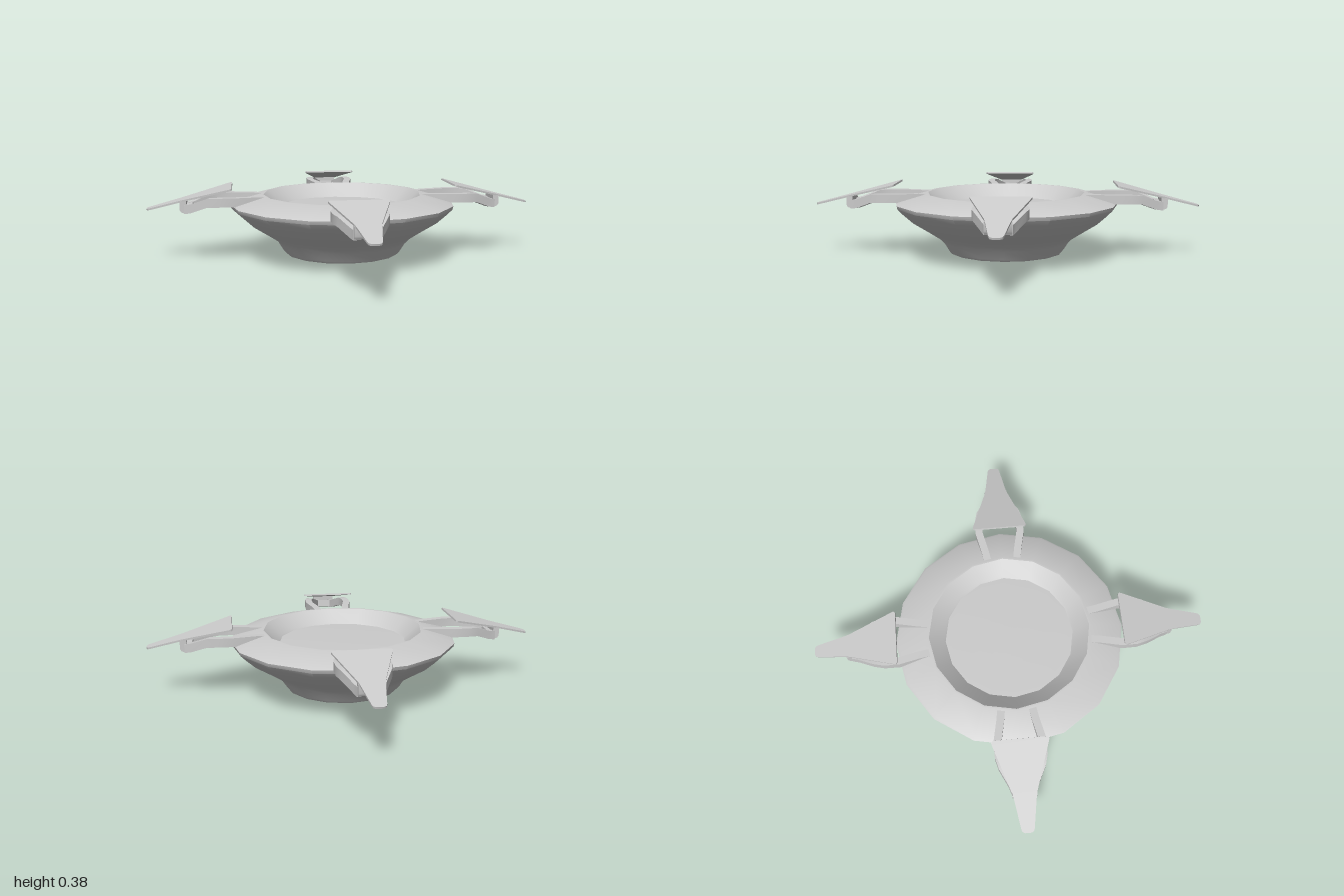
import * as THREE from 'three';
import { toCreasedNormals } from 'three/addons/utils/BufferGeometryUtils.js';

const material = new THREE.MeshStandardMaterial({ color: 0xcccccc });

function part(name, geometry, crease = 0.6) {
  const mesh = new THREE.Mesh(toCreasedNormals(geometry, crease), material);
  mesh.name = name;
  return mesh;
}

// Rectangular beam swept along points, keeping its sides upright
function beam(points, width, height) {
  const pos = [], index = [];
  points.forEach((p, i) => {
    const a = points[Math.max(i - 1, 0)], b = points[Math.min(i + 1, points.length - 1)];
    const side = new THREE.Vector3(a.z - b.z, 0, b.x - a.x).normalize().multiplyScalar(width / 2);
    for (const [s, v] of [[-1, -1], [1, -1], [1, 1], [-1, 1]]) {
      pos.push(p.x + side.x * s, p.y + v * height / 2, p.z + side.z * s);
    }
  });
  for (let i = 0; i < points.length - 1; i++) {
    for (let k = 0; k < 4; k++) {
      const a = i * 4 + k, b = i * 4 + (k + 1) % 4;
      index.push(a, b + 4, b, a, a + 4, b + 4);
    }
  }
  const e = (points.length - 1) * 4;
  index.push(0, 1, 2, 0, 2, 3, e, e + 2, e + 1, e, e + 3, e + 2);
  // Corners run anticlockwise seen along the path, so flip to face outward
  for (let i = 0; i < index.length; i += 3) [index[i + 1], index[i + 2]] = [index[i + 2], index[i + 1]];
  const g = new THREE.BufferGeometry();
  g.setAttribute('position', new THREE.Float32BufferAttribute(pos, 3));
  g.setIndex(index);
  return orient(g);
}

// Turn a closed geometry inside out if its signed volume is negative
function orient(g) {
  const p = g.attributes.position, ix = g.index.array;
  const v = [0, 1, 2].map(() => new THREE.Vector3());
  let volume = 0;
  for (let i = 0; i < ix.length; i += 3) {
    v.forEach((q, k) => q.fromBufferAttribute(p, ix[i + k]));
    volume += v[0].dot(v[1].clone().cross(v[2]));
  }
  if (volume < 0) for (let i = 0; i < ix.length; i += 3) [ix[i + 1], ix[i + 2]] = [ix[i + 2], ix[i + 1]];
  return g;
}

function shapeOf(points) {
  return new THREE.Shape(points.map(([x, y]) => new THREE.Vector2(x, y)));
}

// One wing with its forked support, pointing along +x
function createWing() {
  const wing = new THREE.Group();

  // Tapered blade, tilted down toward the tip
  const half = [[0, 0.132], [0.008, 0.141], [0.02, 0.138], [0.255, 0.06], [0.29, 0.053], [0.425, 0.032], [0.438, 0.027], [0.444, 0.016]];
  const outline = [...half.map(([x, y]) => [x, -y]), ...half.slice().reverse()];
  const plate = new THREE.ExtrudeGeometry(shapeOf(outline), { depth: 0.009, bevelEnabled: false });
  plate.rotateX(-Math.PI / 2).rotateZ(-0.25).translate(0.568, 0.375, 0);
  wing.add(part('wingPlate', plate));

  // Two arms that spread from the hull and close in under the wing
  for (const s of [1, -1]) {
    const path = [[0.4, 0.309, 0.076], [0.46, 0.311, 0.086], [0.57, 0.312, 0.11], [0.64, 0.312, 0.109],
      [0.69, 0.309, 0.096], [0.77, 0.277, 0.055], [0.805, 0.272, 0.044]]
      .map(([x, y, z]) => new THREE.Vector3(x, y, z * s));
    wing.add(part(s > 0 ? 'armRight' : 'armLeft', beam(path, 0.038, 0.045)));
  }

  // Cross bar with the upright lip that holds the wing
  const hook = shapeOf([[0.765, 0.262], [0.798, 0.25], [0.825, 0.258], [0.832, 0.27], [0.832, 0.312],
    [0.8, 0.32], [0.8, 0.292], [0.77, 0.298]]);
  const bar = new THREE.ExtrudeGeometry(hook, { depth: 0.12, bevelEnabled: false }).translate(0, 0, -0.06);
  wing.add(part('crossBar', bar));
  return wing;
}

export function createModel() {
  const model = new THREE.Group();

  // Sixteen-sided dish: intake recess, outer skin, rim and sunken deck
  const profile = [[0, 0.085], [0.25, 0.085], [0.265, 0.07], [0.278, 0.026], [0.298, 0.024], [0.308, 0.036],
    [0.335, 0.08], [0.36, 0.105], [0.41, 0.138], [0.5, 0.195], [0.55, 0.24], [0.578, 0.268], [0.583, 0.286],
    [0.572, 0.292], [0.42, 0.334], [0.41, 0.334], [0.338, 0.27], [0.33, 0.263], [0.305, 0.264], [0, 0.264]];
  const hull = new THREE.LatheGeometry(profile.map(([x, y]) => new THREE.Vector2(x, y)), 16);
  model.add(part('hull', hull));

  // Fan under the hull
  const fan = new THREE.Group();
  fan.name = 'fan';
  const hub = new THREE.CylinderGeometry(0.036, 0.032, 0.09, 16).translate(0, 0.045, 0);
  fan.add(part('fanHub', hub));
  const count = 32;
  for (let i = 0; i < count; i++) {
    const blade = new THREE.BoxGeometry(0.215, 0.005, 0.024);
    const p = blade.attributes.position;
    for (let k = 0; k < p.count; k++) if (p.getX(k) < 0) p.setZ(k, p.getZ(k) * 0.35);
    blade.rotateX(0.7).translate(0.1375, 0.06, 0).rotateY(i * 2 * Math.PI / count);
    fan.add(part('fanBlade', blade));
  }
  model.add(fan);

  // Four wings around the hull
  ['leftWing', 'backWing', 'rightWing', 'frontWing'].forEach((name, i) => {
    const wing = createWing();
    wing.name = name;
    wing.rotation.y = i * Math.PI / 2;
    model.add(wing);
  });
  return model;
}
